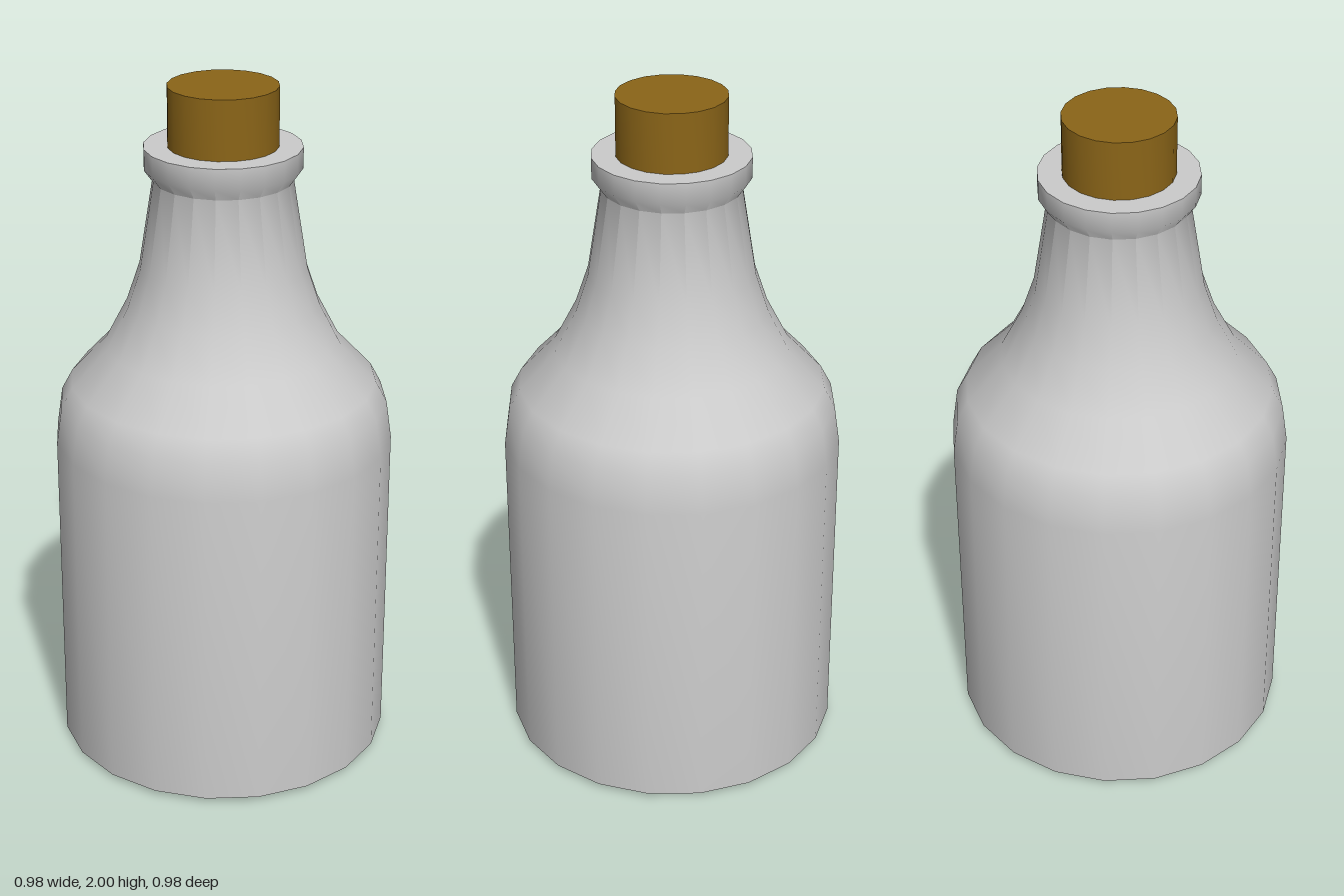
import * as THREE from 'three';
import { toCreasedNormals } from 'three/addons/utils/BufferGeometryUtils.js';

const SIDES = 20;

// Turned part from [radius, height] pairs listed from bottom to top
function turned(name, profile, material) {
  const points = profile.map(([r, y]) => new THREE.Vector2(r, y));
  const geometry = toCreasedNormals(new THREE.LatheGeometry(points, SIDES), 0.8);
  const mesh = new THREE.Mesh(geometry, material);
  mesh.name = name;
  return mesh;
}

export function createModel() {
  const group = new THREE.Group();
  group.name = 'corkedBottle';

  const glass = new THREE.MeshStandardMaterial({ color: 0xcccccc });
  const cork = new THREE.MeshStandardMaterial({ color: 0x8b6518 });

  // Bottle: slightly domed base, straight body, rounded shoulder, flared neck and lip
  group.add(turned('bottle', [
    [0, 0.005], [0.488, 0.015],
    [0.488, 0.97], [0.472, 1.08], [0.44, 1.14],
    [0.337, 1.25], [0.275, 1.37], [0.238, 1.48],
    [0.197, 1.735], [0.222, 1.77],
    [0.222, 1.83], [0.14, 1.83],
  ], glass));

  // Cork stopper, its lower end sunk into the neck
  group.add(turned('cork', [
    [0, 1.7], [0.155, 1.7], [0.155, 2], [0, 2],
  ], cork));

  // Shallow raised centre under the base that the bottle stands on
  group.add(turned('baseCentre', [
    [0, 0], [0.15, 0.004], [0.38, 0.0125],
  ], glass));

  return group;
}
